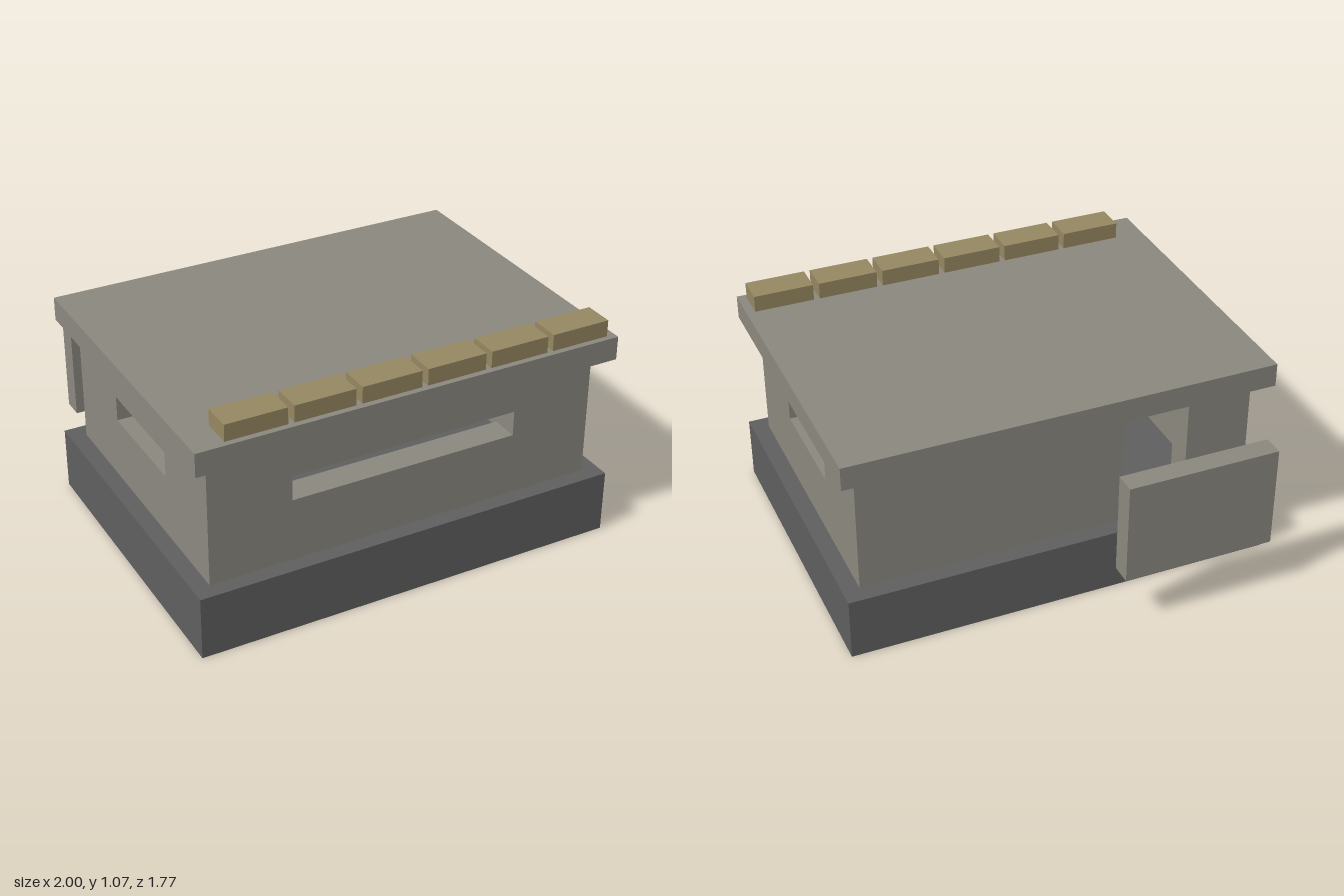
import * as THREE from 'three';

const concrete = new THREE.MeshStandardMaterial({ color: 0x8b887f });
concrete.name = 'concrete';
const foundation = new THREE.MeshStandardMaterial({ color: 0x5f5f60 });
foundation.name = 'dark foundation';
const sandbag = new THREE.MeshStandardMaterial({ color: 0x958761 });
sandbag.name = 'sandbag tan';

const FLOOR = 0.295, CEILING = 0.88;
const SLIT_BOTTOM = 0.59, SLIT_TOP = 0.708;
const THICK = 0.13;

// Box given by its minimum and maximum on each axis
function box(name, material, [x0, x1], [y0, y1], [z0, z1]) {
  const mesh = new THREE.Mesh(new THREE.BoxGeometry(x1 - x0, y1 - y0, z1 - z0), material);
  mesh.position.set((x0 + x1) / 2, (y0 + y1) / 2, (z0 + z1) / 2);
  mesh.name = name;
  return mesh;
}

function rect(Type, x0, x1, y0, y1) {
  return new Type([[x0, y0], [x1, y0], [x1, y1], [x0, y1]].map(([x, y]) => new THREE.Vector2(x, y)));
}

// Wall panel in the xy plane with a firing slit cut through it
function slitWall(name, x0, x1, slit0, slit1) {
  const shape = rect(THREE.Shape, x0, x1, FLOOR, CEILING);
  shape.holes.push(rect(THREE.Path, slit0, slit1, SLIT_BOTTOM, SLIT_TOP));
  const geometry = new THREE.ExtrudeGeometry(shape, { depth: THICK, bevelEnabled: false });
  const mesh = new THREE.Mesh(geometry, concrete);
  mesh.name = name;
  return mesh;
}

export function createModel() {
  const model = new THREE.Group();
  model.name = 'bunker';

  // Foundation and roof slabs
  model.add(box('foundation', foundation, [-1, 1], [0, FLOOR], [-0.604, 0.884]));
  model.add(box('roof', concrete, [-1, 1], [CEILING, 0.99], [-0.604, 0.884]));

  // Front wall with its long slit
  const front = slitWall('frontWall', -0.923, 0.923, -0.54, 0.535);
  front.position.z = 0.81 - THICK;
  model.add(front);

  // Side walls: shape x runs towards -z after the turn
  for (const side of [-1, 1]) {
    const wall = slitWall(side > 0 ? 'leftWall' : 'rightWall', THICK - 0.81, 0.525 - THICK, -0.402, 0.114);
    wall.rotation.y = Math.PI / 2;
    wall.position.x = side > 0 ? 0.923 - THICK : -0.923;
    model.add(wall);
  }

  // Back wall in two pieces with an open doorway between
  const backZ = [-0.525, -0.525 + THICK];
  model.add(box('backWallLeft', concrete, [-0.31, 0.923], [FLOOR, CEILING], backZ));
  model.add(box('backWallRight', concrete, [-0.923, -0.62], [FLOOR, CEILING], backZ));

  // Free-standing blast shield behind the doorway
  model.add(box('blastShield', concrete, [-0.87, -0.16], [0.258, 0.745], [-0.885, -0.785]));

  // Row of sandbags along the front roof edge
  const bags = new THREE.Group();
  bags.name = 'sandbags';
  for (let i = 0; i < 6; i++) {
    const x = -0.86 + i * 0.308;
    bags.add(box('sandbag', sandbag, [x, x + 0.28], [0.985, 1.067], [0.718, 0.857]));
  }
  model.add(bags);

  return model;
}
